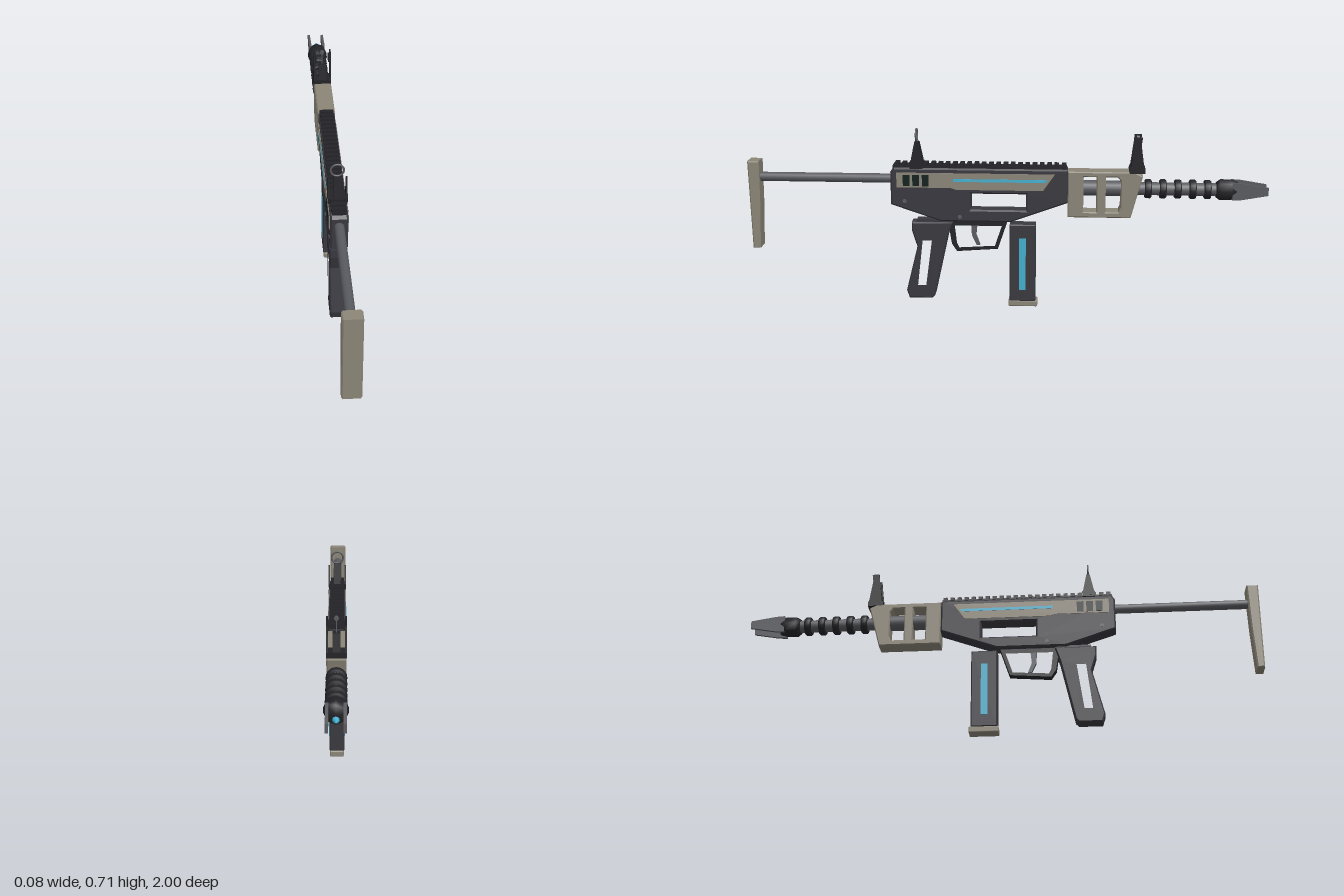
import * as THREE from 'three';
import { RoundedBoxGeometry } from 'three/addons/geometries/RoundedBoxGeometry.js';

const mat = (name, color) => Object.assign(new THREE.MeshStandardMaterial({ color }), { name });

export function createModel() {
  const dark = mat('charcoal', 0x38383f);
  const black = mat('black', 0x232328);
  const tan = mat('warm grey', 0x8c8678);
  const steel = mat('steel', 0x5a5b60);
  const cyan = mat('cyan', 0x45b0d0);
  const glass = mat('dark green', 0x10211e);

  const model = new THREE.Group();
  const add = (name, geometry, material, x = 0, y = 0, z = 0, parent = model) => {
    const mesh = new THREE.Mesh(geometry, material);
    mesh.name = name;
    mesh.position.set(x, y, z);
    parent.add(mesh);
    return mesh;
  };
  const box = (name, material, sx, sy, sz, x, y, z) =>
    add(name, new THREE.BoxGeometry(sx, sy, sz), material, x, y, z);

  // Side profile of [z, y] points, extruded across x to a total width
  const outline = (pts) => pts.map(([z, y]) => new THREE.Vector2(-z, y));
  const profile = (name, material, pts, width, x = 0, bevel = 0, holes = []) => {
    const shape = new THREE.Shape(outline(pts));
    holes.forEach((h) => shape.holes.push(new THREE.Path(outline(h))));
    const depth = width - 2 * bevel;
    const geo = new THREE.ExtrudeGeometry(shape, {
      depth, bevelEnabled: bevel > 0, bevelThickness: bevel, bevelSize: bevel,
      bevelOffset: -bevel, bevelSegments: 1,
    });
    geo.translate(0, 0, -depth / 2).rotateY(Math.PI / 2);
    return add(name, geo, material, x);
  };
  const rect = (z0, z1, y0, y1) => [[z0, y0], [z1, y0], [z1, y1], [z0, y1]];

  // Turned part along z from [radius, z] points, rear to front
  const AXIS = 0.48;
  const turned = (name, material, pts, y = AXIS, sides = 20) => {
    const geo = new THREE.LatheGeometry(pts.map(([r, z]) => new THREE.Vector2(r, -z)), sides);
    const mesh = add(name, geo.rotateX(-Math.PI / 2), material, 0, y, 0);
    return mesh;
  };
  const cylinder = (name, material, r, z0, z1, y = AXIS, sides = 20) => {
    const geo = new THREE.CylinderGeometry(r, r, Math.abs(z1 - z0), sides).rotateX(Math.PI / 2);
    return add(name, geo, material, 0, y, (z0 + z1) / 2);
  };

  // Stock
  profile('buttPlate', tan, [[1, 0.575], [0.955, 0.575], [0.958, 0.4], [0.966, 0.225], [0.995, 0.225]], 0.07, 0, 0.005);
  cylinder('stockRod', steel, 0.018, 0.96, 0.43, 0.508);

  // Receiver with an open window
  profile('receiver', dark, [
    [0.444, 0.54], [0.43, 0.556], [-0.24, 0.556], [-0.24, 0.425],
    [-0.02, 0.345], [0.25, 0.345], [0.444, 0.41],
  ], 0.064, 0, 0.006, [rect(0.134, -0.08, 0.393, 0.457)]);

  // Top rail
  box('railBase', black, 0.05, 0.012, 0.67, 0, 0.558, 0.1);
  for (let i = 0; i < 24; i++) {
    box('railTooth', black, 0.054, 0.014, 0.017, 0, 0.566, 0.42 - i * 0.028);
  }

  // Painted details on both sides
  for (const s of [1, -1]) {
    profile('sidePanel', tan, [[0.42, 0.538], [-0.19, 0.538], [-0.145, 0.473], [0.19, 0.473], [0.21, 0.48], [0.42, 0.48]], 0.005, s * 0.0325);
    profile('lightStrip', cyan, [[0.2, 0.516], [-0.165, 0.516], [-0.155, 0.505], [0.2, 0.505]], 0.002, s * 0.0355);
    for (let i = 0; i < 3; i++) {
      box('sideWindow', glass, 0.002, 0.044, 0.026, s * 0.0355, 0.508, 0.382 - i * 0.037);
    }
    for (const [z, y] of [[0.39, 0.425], [0.176, 0.365]]) {
      const pin = new THREE.CylinderGeometry(0.008, 0.008, 0.004, 12).rotateZ(Math.PI / 2);
      add('pin', pin, steel, s * 0.032, y, z);
    }
    box('magazineStrip', cyan, 0.002, 0.21, 0.026, s * 0.0295, 0.175, -0.067);
  }

  // Grip with an open slot
  profile('grip', dark, [
    [0.365, 0.34], [0.205, 0.34], [0.225, 0.28], [0.278, 0.04], [0.29, 0.028],
    [0.38, 0.028], [0.39, 0.06], [0.345, 0.24], [0.365, 0.305],
  ], 0.058, 0, 0.005, [[[0.328, 0.27], [0.282, 0.27], [0.308, 0.078], [0.35, 0.078]]]);
  box('gripMount', dark, 0.04, 0.016, 0.14, 0, 0.342, 0.275);

  // Trigger and guard
  profile('triggerGuard', black, [[0.225, 0.345], [-0.008, 0.345], [0.03, 0.232], [0.19, 0.22], [0.21, 0.25]], 0.03, 0, 0.002,
    [[[0.2, 0.327], [0.012, 0.327], [0.04, 0.243], [0.182, 0.234], [0.192, 0.255]]]);
  profile('trigger', steel, [[0.135, 0.335], [0.11, 0.335], [0.115, 0.285], [0.1, 0.245], [0.113, 0.245], [0.132, 0.285]], 0.016);

  // Magazine
  profile('magazine', dark, [[-0.017, 0.335], [-0.118, 0.335], [-0.118, 0.022], [-0.017, 0.022]], 0.058, 0, 0.004);
  add('magazineBase', new RoundedBoxGeometry(0.054, 0.025, 0.114, 2, 0.005), tan, 0, 0.0125, -0.069);

  // Handguard with two through slots
  profile('handguard', tan, [
    [-0.24, 0.55], [-0.495, 0.55], [-0.525, 0.535], [-0.482, 0.37], [-0.24, 0.37],
  ], 0.07, 0, 0.004, [
    rect(-0.3, -0.35, 0.392, 0.53),
    [[-0.385, 0.392], [-0.435, 0.392], [-0.442, 0.41], [-0.442, 0.515], [-0.43, 0.53], [-0.385, 0.53]],
  ]);
  cylinder('innerBarrel', steel, 0.03, -0.25, -0.49);

  // Barrel with cooling rings
  cylinder('barrel', steel, 0.025, -0.48, -0.82);
  for (let i = 0; i < 5; i++) {
    const z = -0.547 - i * 0.0565;
    turned('coolingRing', black, [
      [0.02, z + 0.013], [0.033, z + 0.013], [0.037, z + 0.008], [0.037, z - 0.008], [0.033, z - 0.013], [0.02, z - 0.013],
    ]);
  }

  // Muzzle with two prongs and a glowing tip
  turned('muzzleCollar', black, [
    [0, -0.805], [0.03, -0.805], [0.041, -0.82], [0.041, -0.862], [0.033, -0.885], [0, -0.885],
  ], AXIS, 8);
  for (const s of [1, -1]) {
    profile('muzzleProng', steel, [[-0.865, 0.514], [-0.9, 0.512], [-1, 0.496], [-1, 0.466], [-0.9, 0.448], [-0.865, 0.446]], 0.01, s * 0.029);
  }
  add('muzzleTip', new THREE.ConeGeometry(0.012, 0.028, 12).rotateX(-Math.PI / 2), cyan, 0, AXIS, -0.942);

  // Rear sight
  profile('rearSightBody', black, [[0.368, 0.56], [0.318, 0.56], [0.336, 0.655], [0.35, 0.655]], 0.028);
  box('rearSightBase', black, 0.07, 0.022, 0.05, 0, 0.564, 0.343);
  add('rearSightRing', new THREE.TorusGeometry(0.0235, 0.0035, 8, 28), steel, 0, 0.68, 0.343);
  // Front sight
  box('frontSightBase', black, 0.07, 0.02, 0.06, 0, 0.555, -0.503);
  profile('frontSightBody', black, [[-0.475, 0.545], [-0.53, 0.545], [-0.516, 0.63], [-0.49, 0.63]], 0.028);
  cylinder('frontSightBead', steel, 0.008, -0.499, -0.509, 0.68, 16);
  box('frontSightStem', steel, 0.004, 0.05, 0.006, 0, 0.652, -0.504);
  for (const s of [1, -1]) {
    profile('rearSightPlate', black, [[0.368, 0.56], [0.318, 0.56], [0.336, 0.648], [0.35, 0.648]], 0.006, s * 0.0325);
    profile('frontSightEar', black, [
      [-0.475, 0.545], [-0.532, 0.545], [-0.516, 0.655], [-0.52, 0.685], [-0.492, 0.685], [-0.489, 0.655],
    ], 0.006, s * 0.0325);
    box('frontSightEarPad', black, 0.006, 0.032, 0.022, s * 0.027, 0.657, -0.504);
  }
  return model;
}
